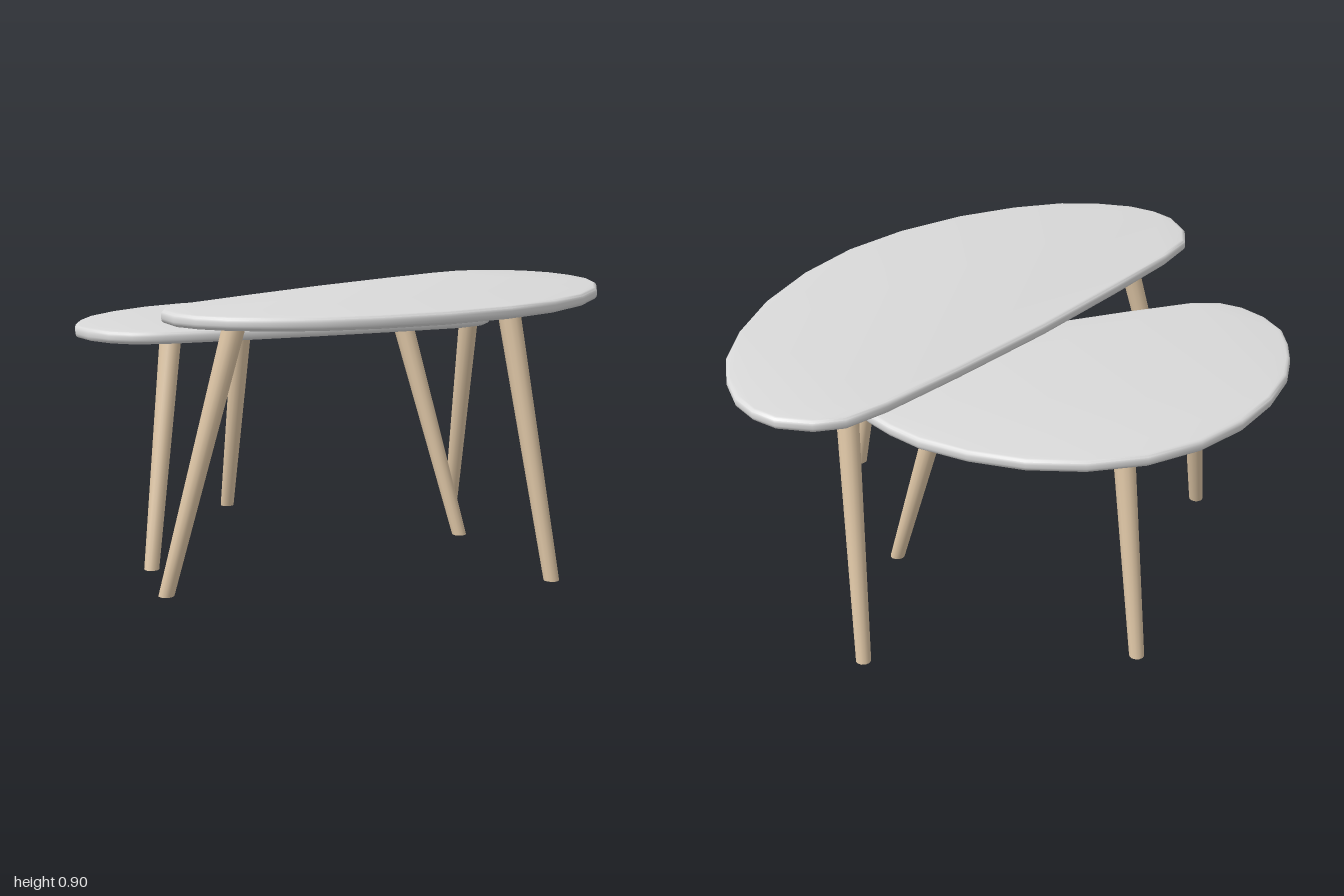
import * as THREE from 'three';
import { toCreasedNormals } from 'three/addons/utils/BufferGeometryUtils.js';

const topPaint = new THREE.MeshStandardMaterial({ color: 0xd9d9d9 });
topPaint.name = 'pale grey top';
const wood = new THREE.MeshStandardMaterial({ color: 0xdcc4a4 });
wood.name = 'light wood';

const THICKNESS = 0.04;

// Half outlines as [along, across], from the curved side round one tip to the straight side
const LARGE_HALF = [
  [0, 0.815], [0.24, 0.79], [0.48, 0.72], [0.68, 0.62], [0.83, 0.51], [0.92, 0.4], [0.98, 0.29],
  [1, 0.19], [0.99, 0.1], [0.93, 0], [0.85, -0.06], [0.7, -0.085], [0.4, -0.1], [0, -0.11],
];
const SMALL_HALF = [
  [0, 0.8], [0.187, 0.773], [0.356, 0.705], [0.505, 0.601], [0.622, 0.482], [0.687, 0.375], [0.727, 0.283],
  [0.753, 0.187], [0.742, 0.078], [0.701, -0.015], [0.643, -0.074], [0.542, -0.109], [0.3, -0.12], [0, -0.125],
];

// Rounded slab: the half outline is mirrored, turned by angle and placed around (cx, cz)
function makeTop(half, angle, cx, cz, bottom) {
  const mirrored = half.slice(1, -1).reverse().map(([u, n]) => [-u, n]);
  const c = Math.cos(angle), s = Math.sin(angle);
  const points = [...half, ...mirrored].map(([u, n]) =>
    new THREE.Vector2(cx + n * c - u * s, -(cz + n * s + u * c)));
  const bevel = 0.015;
  const slab = new THREE.ExtrudeGeometry(new THREE.Shape(points), {
    depth: THICKNESS - 2 * bevel, bevelThickness: bevel, bevelSize: 0.014, bevelOffset: -0.014, bevelSegments: 3,
  });
  slab.translate(0, 0, bevel).rotateX(-Math.PI / 2).translate(0, bottom, 0);
  const mesh = new THREE.Mesh(toCreasedNormals(slab, 0.7), topPaint);
  mesh.name = 'tableTop';
  return mesh;
}

// Tapered leg, sheared so that both ends stay level
function makeLeg([footX, footZ, headX, headZ], height) {
  const leg = new THREE.CylinderGeometry(0.037, 0.025, height, 12).translate(0, height / 2, 0);
  const p = leg.attributes.position;
  for (let i = 0; i < p.count; i++) {
    const t = p.getY(i) / height;
    p.setX(i, p.getX(i) + footX + (headX - footX) * t);
    p.setZ(i, p.getZ(i) + footZ + (headZ - footZ) * t);
  }
  const mesh = new THREE.Mesh(toCreasedNormals(leg, 0.9), wood);
  mesh.name = 'leg';
  return mesh;
}

function makeTable(name, top, legs, bottom) {
  const table = new THREE.Group();
  table.name = name;
  table.add(top, ...legs.map((leg) => makeLeg(leg, bottom + 0.008)));
  return table;
}

export function createModel() {
  const model = new THREE.Group();
  model.name = 'nestingTables';

  // Tall table; legs are [footX, footZ, headX, headZ]
  model.add(makeTable('tallTable', makeTop(LARGE_HALF, 0, 0, 0, 0.86), [
    [-0.07, 0.85, 0.1, 0.7],
    [-0.07, -0.85, 0.1, -0.7],
    [0.82, 0, 0.645, 0],
  ], 0.86));

  // Low table, turned and tucked under the tall one
  model.add(makeTable('lowTable', makeTop(SMALL_HALF, Math.PI * 7 / 6, -0.065, 0.113, 0.75), [
    [-0.72, -0.25, -0.565, -0.165],
    [-0.32, 0.637, -0.395, 0.435],
    [0.26, -0.36, 0.04, -0.315],
  ], 0.75));

  return model;
}
